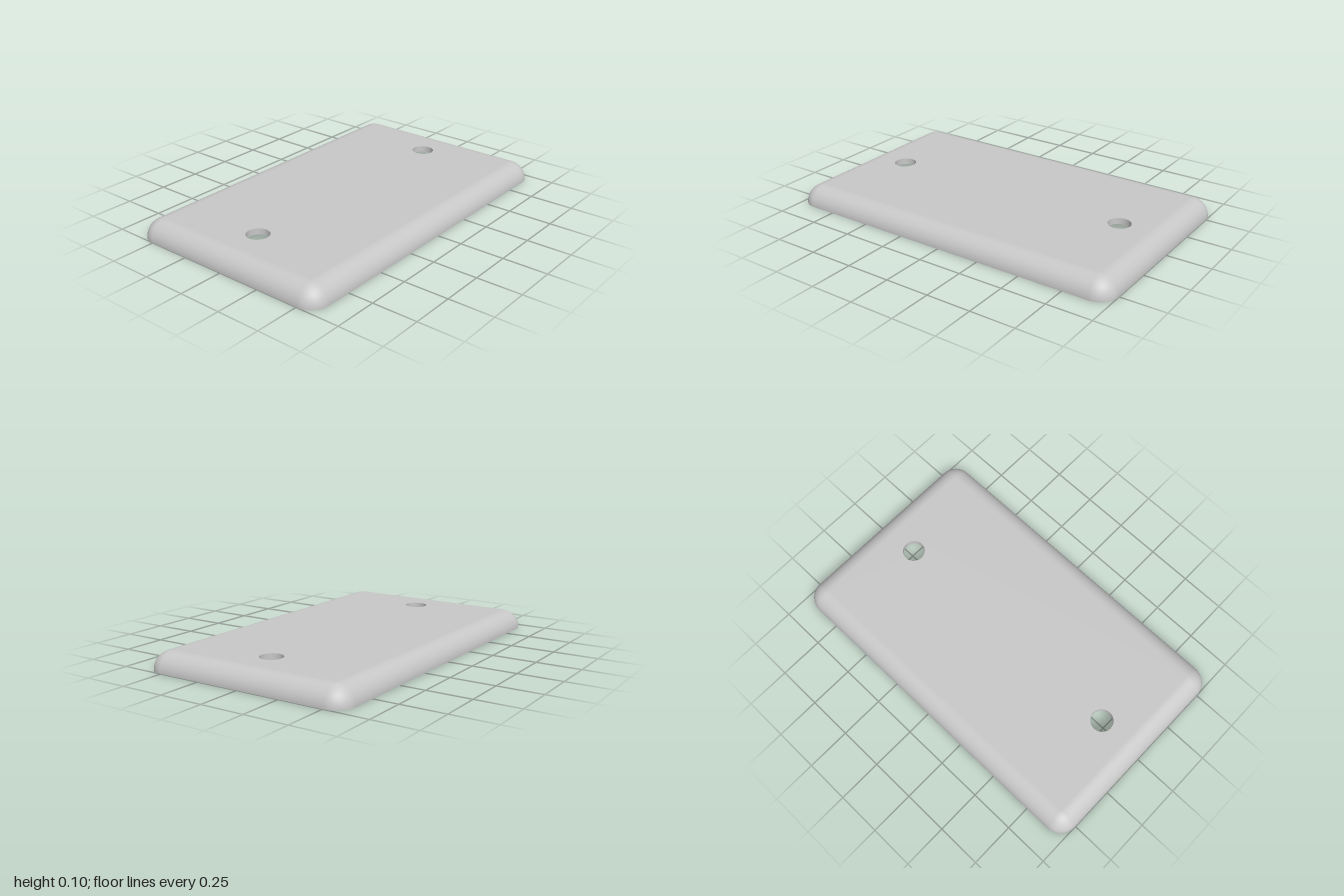
import * as THREE from 'three';

const CORE_X = 0.505, CORE_Z = 0.895; // flat field half sizes
const OUTER = 0.105, WALL = 0.035, INNER = OUTER - WALL;
const HOLE_Z = 0.727, HOLE_R = 0.063;

// Sweep a profile of [offset, y, normalOut, normalUp] around the rounded rectangle
function sweepAround(profile) {
  const steps = 12, pos = [], nor = [], index = [];
  const signs = [[1, 1], [-1, 1], [-1, -1], [1, -1]];
  const ring = [];
  signs.forEach(([sx, sz], k) => {
    for (let s = 0; s <= steps; s++) {
      const t = (k + s / steps) * Math.PI / 2;
      ring.push([sx * CORE_X, sz * CORE_Z, Math.cos(t), Math.sin(t)]);
    }
  });
  for (const [cx, cz, dx, dz] of ring) {
    for (const [r, y, nr, ny] of profile) {
      pos.push(cx + dx * r, y, cz + dz * r);
      nor.push(dx * nr, ny, dz * nr);
    }
  }
  const m = profile.length;
  for (let i = 0; i < ring.length; i++) {
    const a = i * m, b = ((i + 1) % ring.length) * m;
    for (let j = 0; j < m - 1; j++) {
      index.push(a + j, a + j + 1, b + j, a + j + 1, b + j + 1, b + j);
    }
  }
  const g = new THREE.BufferGeometry();
  g.setAttribute('position', new THREE.Float32BufferAttribute(pos, 3));
  g.setAttribute('normal', new THREE.Float32BufferAttribute(nor, 3));
  g.setIndex(index);
  return g;
}

// Quarter-round profile from the base up to the flat field
function quarterRound(radius, inside) {
  const pts = [], n = 14, s = inside ? -1 : 1;
  for (let i = 0; i <= n; i++) {
    const a = (i / n) * Math.PI / 2, c = Math.cos(a), h = Math.sin(a);
    pts.push([radius * c, radius * h, s * c, s * h]);
  }
  return inside ? pts.reverse() : pts;
}

// Flat rectangle with the two screw holes
function flatField(y, facing) {
  const shape = new THREE.Shape([
    new THREE.Vector2(-CORE_X, -CORE_Z), new THREE.Vector2(CORE_X, -CORE_Z),
    new THREE.Vector2(CORE_X, CORE_Z), new THREE.Vector2(-CORE_X, CORE_Z),
  ]);
  for (const s of [-1, 1]) {
    shape.holes.push(new THREE.Path().absarc(0, s * HOLE_Z, HOLE_R, 0, Math.PI * 2, true));
  }
  return new THREE.ShapeGeometry(shape, 24).rotateX(-facing * Math.PI / 2).translate(0, y, 0);
}

export function createModel() {
  const group = new THREE.Group();
  group.name = 'coverPlate';
  const plastic = new THREE.MeshStandardMaterial({ color: 0xc8c8c8 });
  plastic.name = 'light grey';

  const add = (name, geometry) => {
    const mesh = new THREE.Mesh(geometry, plastic);
    mesh.name = name;
    group.add(mesh);
    return mesh;
  };

  // Outer and inner faces of the hollow shell
  add('topFace', flatField(OUTER, 1));
  add('roundedEdge', sweepAround(quarterRound(OUTER, false)));
  add('underside', flatField(INNER, -1));
  add('innerEdge', sweepAround(quarterRound(INNER, true)));
  add('bottomRim', sweepAround([[INNER, 0, 0, -1], [OUTER, 0, 0, -1]]));

  // Inward-facing hole walls
  for (const s of [-1, 1]) {
    const wall = new THREE.LatheGeometry(
      [new THREE.Vector2(HOLE_R, OUTER), new THREE.Vector2(HOLE_R, INNER)], 48);
    add(s > 0 ? 'frontScrewHole' : 'backScrewHole', wall).position.z = s * HOLE_Z;
  }
  return group;
}
